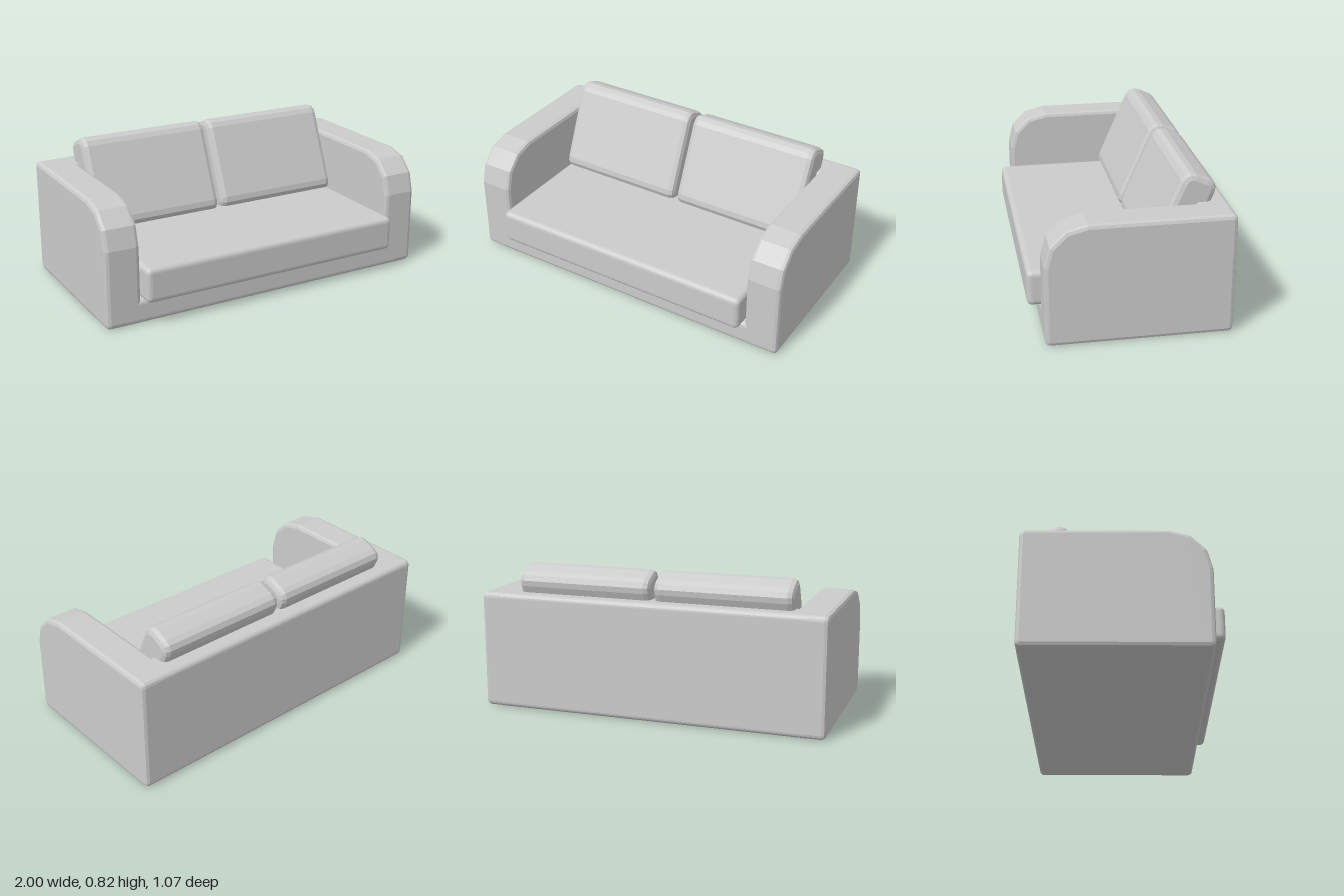
import * as THREE from 'three';
import { RoundedBoxGeometry } from 'three/addons/geometries/RoundedBoxGeometry.js';

const material = new THREE.MeshStandardMaterial({ color: 0xcccccc, flatShading: true });

// Side profile (z, y) with rounded right-angle corners, listed counter-clockwise from bottom front.
function roundedProfile(z0, z1, y0, y1, radii, steps) {
  const corners = [[z1, y0, -1, 1], [z1, y1, -1, -1], [z0, y1, 1, -1], [z0, y0, 1, 1]];
  const points = [];
  corners.forEach(([z, y, sz, sy], i) => {
    const r = radii[i];
    for (let k = 0; k <= steps; k++) {
      const a = -Math.PI / 2 + (i + k / steps) * Math.PI / 2;
      points.push(new THREE.Vector2(z + sz * r + r * Math.cos(a), y + sy * r + r * Math.sin(a)));
    }
  });
  return new THREE.Shape(points);
}

// Extrudes a side profile across x, centred on x = 0, with bevelled ends.
function extrudeAcross(shape, width, bevel) {
  const geometry = new THREE.ExtrudeGeometry(shape, {
    depth: width - 2 * bevel, bevelEnabled: true, bevelThickness: bevel,
    bevelSize: bevel, bevelOffset: -bevel, bevelSegments: 2,
  });
  geometry.translate(0, 0, -(width - 2 * bevel) / 2);
  return geometry.rotateY(-Math.PI / 2);
}

// Rounded box given by its limits.
function block(name, halfWidth, y0, y1, z0, z1, radius) {
  const mesh = new THREE.Mesh(
    new RoundedBoxGeometry(2 * halfWidth, y1 - y0, z1 - z0, 3, radius), material);
  mesh.position.set(0, (y0 + y1) / 2, (z0 + z1) / 2);
  mesh.name = name;
  return mesh;
}

export function createModel() {
  const sofa = new THREE.Group();
  sofa.name = 'sofa';

  // Frame: base and backrest run into the arms
  sofa.add(block('base', 0.92, 0, 0.14, -0.535, 0.465, 0.028));
  sofa.add(block('backrest', 0.92, 0, 0.67, -0.535, -0.355, 0.028));

  // Seat cushion, standing out in front of the base
  sofa.add(block('seatCushion', 0.795, 0.135, 0.335, -0.37, 0.535, 0.03));

  const armGeometry = extrudeAcross(
    roundedProfile(-0.535, 0.465, 0, 0.67, [0.028, 0.225, 0.028, 0.028], 3), 0.2, 0.022);
  const cushionGeometry = extrudeAcross(
    roundedProfile(-0.1, 0.1, -0.277, 0.277, [0.062, 0.062, 0.062, 0.062], 3), 0.785, 0.032);

  for (const side of [-1, 1]) {
    const prefix = side > 0 ? 'left' : 'right';

    // Arm with a rounded upper front corner
    const arm = new THREE.Mesh(armGeometry, material);
    arm.position.x = side * 0.9;
    arm.name = prefix + 'Arm';

    // Back cushion leaning on the backrest
    const cushion = new THREE.Mesh(cushionGeometry, material);
    cushion.position.set(side * 0.404, 0.551, -0.289);
    cushion.rotation.x = -0.41;
    cushion.name = prefix + 'BackCushion';

    sofa.add(arm, cushion);
  }
  return sofa;
}
